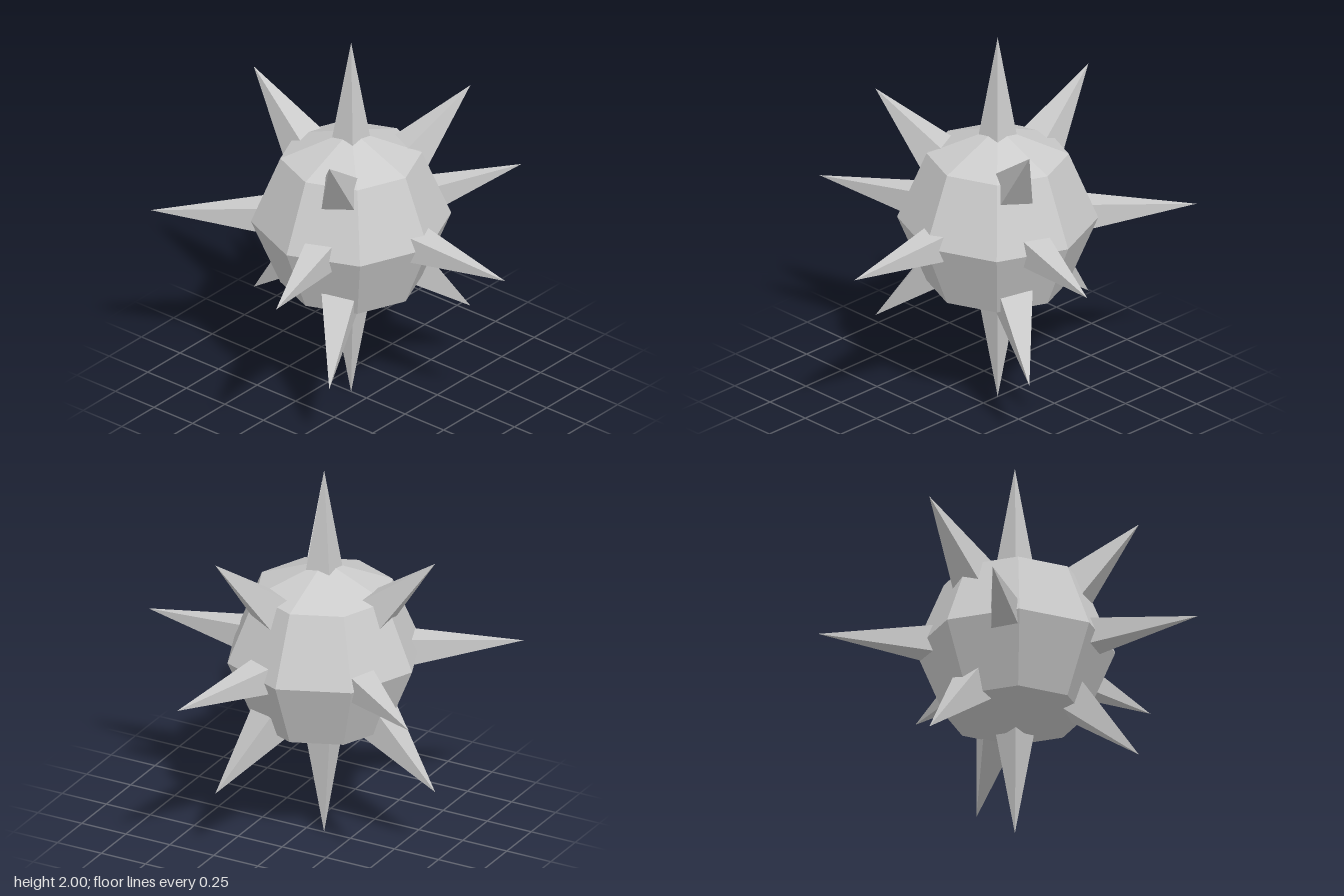
import * as THREE from 'three';

const BASE = 0.4286; // distance of every spike's base from the centre

export function createModel() {
  const model = new THREE.Group();
  model.name = 'spikedBall';
  const material = new THREE.MeshStandardMaterial({ color: 0xcccccc, flatShading: true });

  // Faceted core, sitting slightly behind the origin
  const ball = new THREE.Group();
  ball.name = 'ball';
  ball.position.set(0, 1, -0.1);
  const core = new THREE.Mesh(new THREE.SphereGeometry(0.5, 8, 4), material);
  core.name = 'core';
  ball.add(core);
  model.add(ball);

  // Four-sided pyramids pointing up, with flat sides facing the axes
  const pyramid = (radius, height) =>
    new THREE.ConeGeometry(radius, height, 4, 1, false, Math.PI / 4).translate(0, BASE + height / 2, 0);
  const longSpike = pyramid(0.1, 1 - BASE);
  const shortSpike = pyramid(0.121, 0.893 - BASE);

  // Tilt away from straight up, then turn around the vertical axis
  const addSpike = (name, geometry, tilt, turn) => {
    const spike = new THREE.Mesh(geometry, material);
    spike.name = name;
    spike.rotation.set(THREE.MathUtils.degToRad(tilt), THREE.MathUtils.degToRad(turn), 0, 'YXZ');
    ball.add(spike);
  };

  // Poles
  addSpike('topSpike', longSpike, 0, 0);
  addSpike('bottomSpike', longSpike, 180, 0);

  // Five around the middle
  for (let i = 0; i < 5; i++) addSpike(`middleSpike${i + 1}`, longSpike, 90, i * 72);

  // Three stout diagonals above and three below
  [60, 180, 300].forEach((turn, i) => {
    addSpike(`upperSpike${i + 1}`, shortSpike, 45, turn);
    addSpike(`lowerSpike${i + 1}`, shortSpike, 135, turn);
  });

  return model;
}
